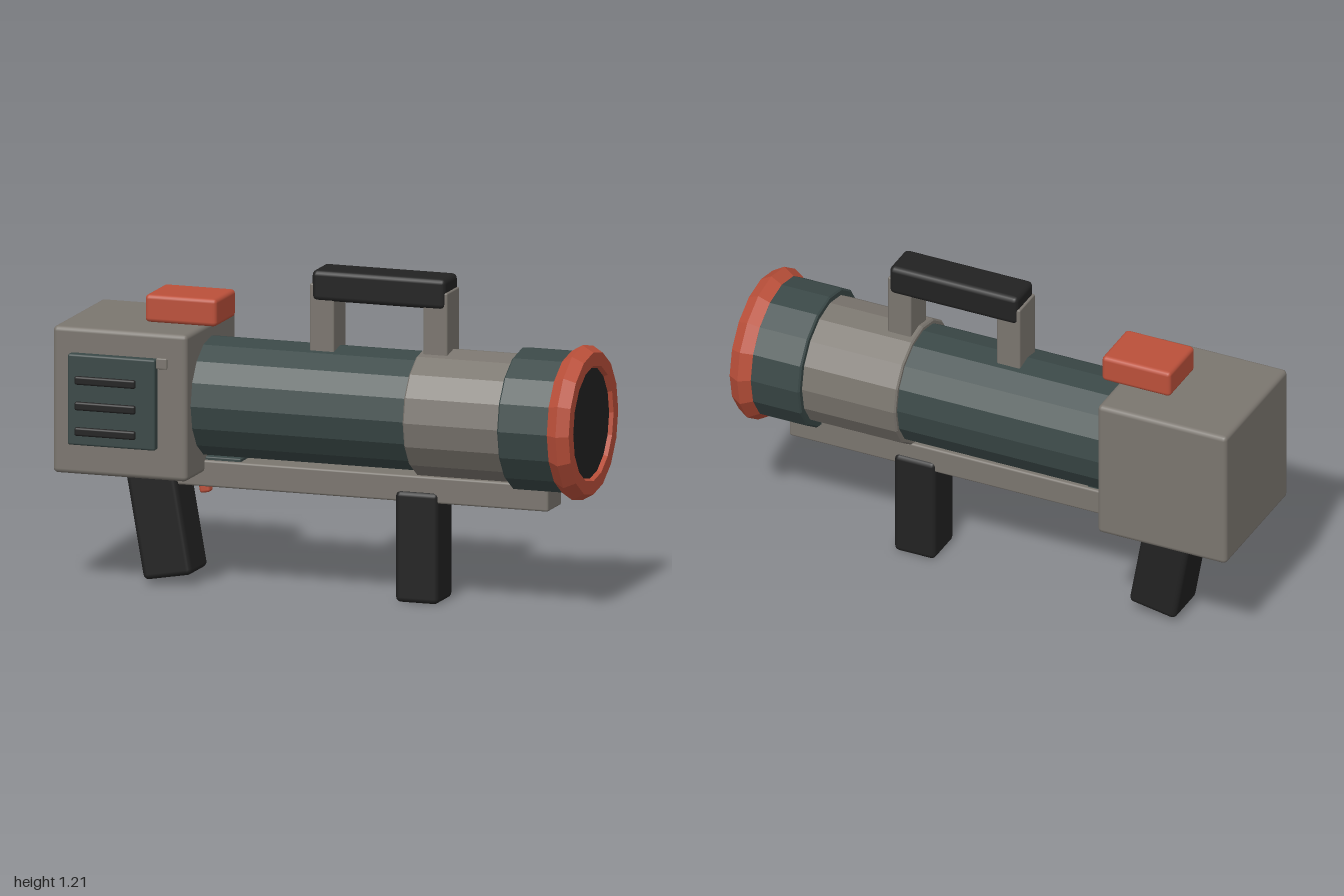
import * as THREE from 'three';
import { RoundedBoxGeometry } from 'three/addons/geometries/RoundedBoxGeometry.js';

const AXIS_Y = 0.706; // height of the barrel axis
const MID_Z = -0.009; // depth of the barrel axis

export function createModel() {
  const model = new THREE.Group();
  model.name = 'launcher';

  const paint = (name, color) => {
    const m = new THREE.MeshStandardMaterial({ color });
    m.name = name;
    return m;
  };
  const grey = paint('warm grey', 0x7b766f);
  const teal = paint('dark teal', 0x3a4847);
  const black = paint('black', 0x222222);
  const red = paint('rust red', 0xbb503a);

  const add = (name, geometry, material, x, y, z) => {
    const mesh = new THREE.Mesh(geometry, material);
    mesh.name = name;
    mesh.position.set(x, y, z);
    model.add(mesh);
    return mesh;
  };

  // Bevelled box given by its extents in x and y, and its depth and centre in z
  const box = (name, material, [x0, x1], [y0, y1], depth, bevel, z = MID_Z) =>
    add(name, new RoundedBoxGeometry(x1 - x0, y1 - y0, depth, 2, bevel), material,
      (x0 + x1) / 2, (y0 + y1) / 2, z);

  const faceted = (geometry) => {
    const g = geometry.toNonIndexed();
    g.computeVertexNormals();
    return g;
  };

  // Faceted barrel section along x with small chamfers at both ends
  const section = (name, material, x0, x1, radius, sides = 16, c = 0.006) => {
    const profile = [
      [0, x0], [radius - c, x0], [radius, x0 + c],
      [radius, x1 - c], [radius - c, x1], [0, x1],
    ].map(([r, h]) => new THREE.Vector2(r, h));
    const geometry = faceted(new THREE.LatheGeometry(profile, sides));
    geometry.rotateZ(-Math.PI / 2);
    return add(name, geometry, material, 0, AXIS_Y, MID_Z);
  };

  // Barrel
  section('mainTube', teal, -0.55, 0.36, 0.221);
  section('greyBand', grey, 0.345, 0.74, 0.238);
  section('frontCollar', teal, 0.72, 0.94, 0.263);
  section('muzzleOpening', black, 0.9, 0.985, 0.215, 24, 0.001);
  const ring = new THREE.TorusGeometry(0.239, 0.049, 6, 16);
  ring.rotateY(Math.PI / 2);
  add('muzzleRing', faceted(ring), red, 0.957, AXIS_Y, MID_Z);

  // Rear housing with its top button
  box('rearHousing', grey, [-1, -0.48], [0.432, 0.978], 0.526, 0.018);
  box('topButton', red, [-0.7, -0.423], [0.982, 1.085], 0.214, 0.016);

  // Vent panel on the front side
  box('ventPanel', teal, [-0.93, -0.592], [0.547, 0.885], 0.05, 0.008, 0.261);
  for (const y of [0.6, 0.695, 0.79]) {
    box('ventSlat', black, [-0.9, -0.665], [y - 0.016, y + 0.016], 0.02, 0.008, 0.29);
  }
  box('latch', grey, [-0.583, -0.541], [0.855, 0.896], 0.012, 0.005, 0.294);

  // Rail under the barrel
  box('lowerRail', grey, [-0.62, 0.85], [0.38, 0.478], 0.146, 0.008);
  box('railSpacer', teal, [-0.6, -0.345], [0.44, 0.49], 0.12, 0.005);

  // Grips and trigger
  const rearGrip = box('rearGrip', black, [-0.756, -0.566], [0.031, 0.531], 0.188, 0.02);
  rearGrip.rotation.z = THREE.MathUtils.degToRad(10);
  box('frontGrip', black, [0.26, 0.425], [0.005, 0.42], 0.168, 0.02);
  const trigger = box('trigger', red, [-0.525, -0.485], [0.345, 0.425], 0.045, 0.01);
  trigger.rotation.z = THREE.MathUtils.degToRad(10);

  // Carrying handle
  for (const x of [-0.029, 0.41]) {
    box('handlePost', grey, [x - 0.047, x + 0.047], [0.88, 1.163], 0.13, 0.006);
  }
  box('handleBar', black, [-0.067, 0.45], [1.1, 1.214], 0.146, 0.02);

  return model;
}
